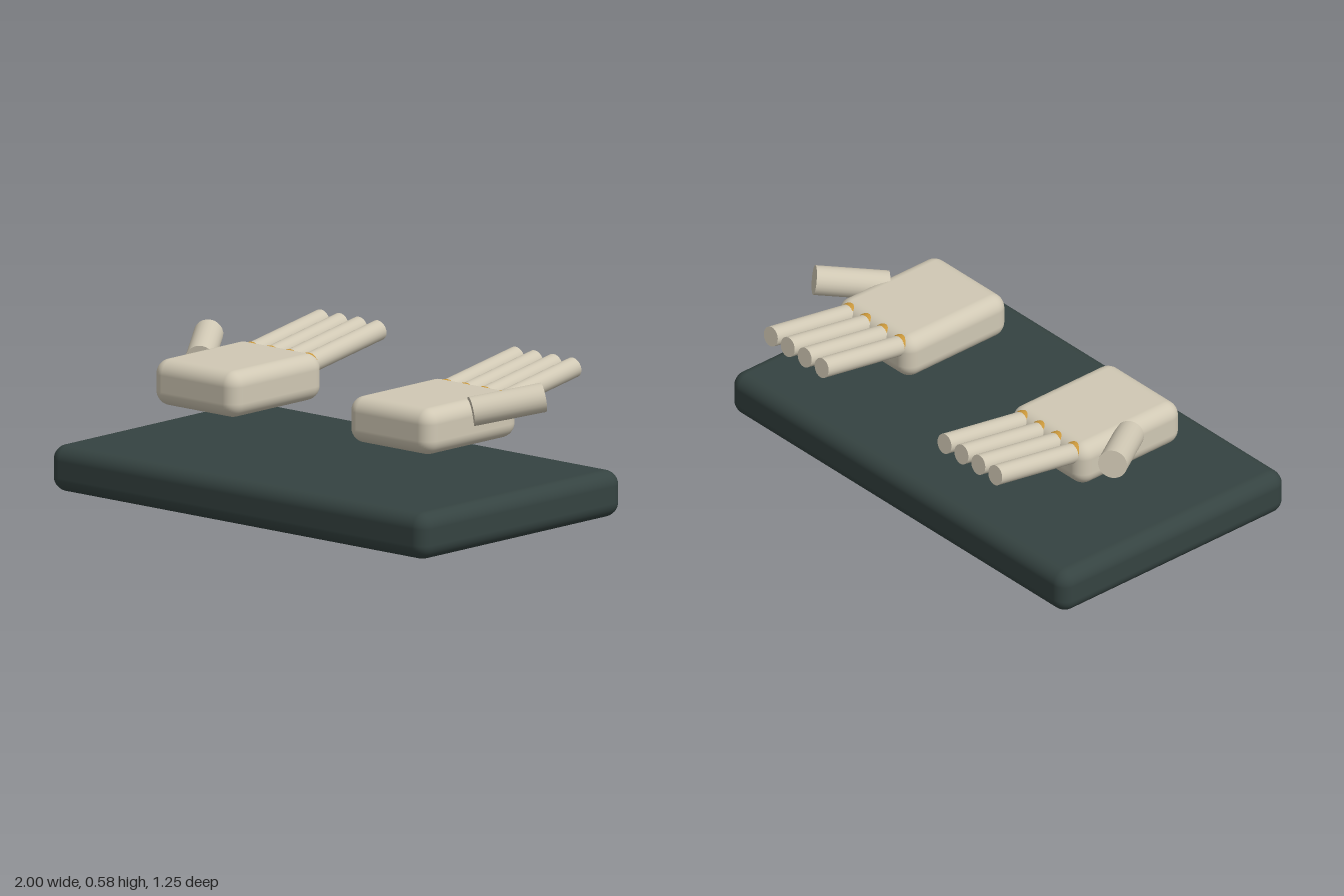
import * as THREE from 'three';
import { RoundedBoxGeometry } from 'three/addons/geometries/RoundedBoxGeometry.js';

function material(name, color) {
  const m = new THREE.MeshStandardMaterial({ color });
  m.name = name;
  return m;
}

function add(parent, name, geometry, mat, x = 0, y = 0, z = 0) {
  const mesh = new THREE.Mesh(geometry, mat);
  mesh.name = name;
  mesh.position.set(x, y, z);
  parent.add(mesh);
  return mesh;
}

// Straight cylinder between two points
function rod(parent, name, from, to, radius, mat) {
  const dir = to.clone().sub(from);
  const mid = from.clone().add(to).multiplyScalar(0.5);
  const mesh = add(parent, name, new THREE.CylinderGeometry(radius, radius, dir.length(), 24), mat, mid.x, mid.y, mid.z);
  mesh.quaternion.setFromUnitVectors(new THREE.Vector3(0, 1, 0), dir.normalize());
  return mesh;
}

export function createModel() {
  const model = new THREE.Group();
  model.name = 'handsOnSlab';
  const slate = material('dark slate', 0x354341);
  const ivory = material('ivory', 0xd0c8b4);
  const brass = material('brass', 0xc8963a);

  // Base slab
  add(model, 'baseSlab', new RoundedBoxGeometry(2, 0.188, 1.18, 5, 0.06), slate, 0, 0.094, 0.037);

  // Mirrored pair of hands, thumbs outward
  for (const side of [1, -1]) {
    const hand = new THREE.Group();
    hand.name = side > 0 ? 'leftHand' : 'rightHand';
    hand.position.x = side * 0.518;
    model.add(hand);

    add(hand, 'palm', new RoundedBoxGeometry(0.446, 0.187, 0.54, 5, 0.06), ivory, 0, 0.427, 0.04);

    // Four raised fingers with brass knuckle joints
    for (let i = 0; i < 4; i++) {
      const x = (i - 1.5) * 0.101;
      rod(hand, 'finger', new THREE.Vector3(x, 0.471, -0.2), new THREE.Vector3(x, 0.542, -0.619), 0.041, ivory);
      add(hand, 'knuckle', new THREE.SphereGeometry(0.046, 20, 14), brass, x, 0.471, -0.2);
    }

    // Thumb
    rod(hand, 'thumb',
      new THREE.Vector3(side * 0.203, 0.476, 0.04),
      new THREE.Vector3(side * 0.372, 0.52, -0.197), 0.059, ivory);
  }
  return model;
}
